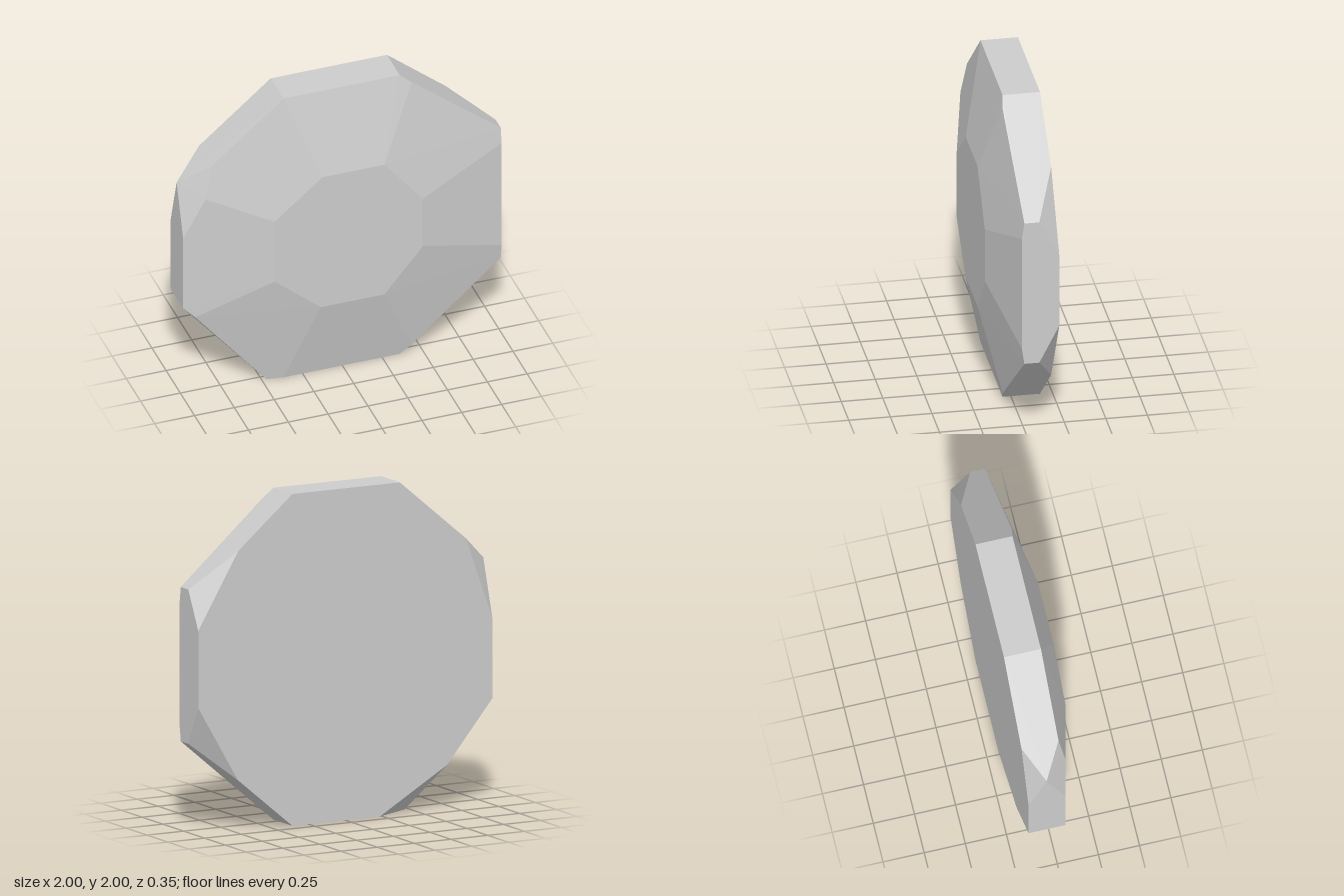
import * as THREE from 'three';
import { ConvexGeometry } from 'three/addons/geometries/ConvexGeometry.js';

const FRONT = 0.175, BACK = -0.175;

// Flat front facet
const face = [
  [-0.17, 1.47], [0.22, 1.47], [0.46, 1.17], [0.46, 0.83],
  [0.22, 0.54], [-0.18, 0.54], [-0.47, 0.79], [-0.47, 1.22],
].map(([x, y]) => [x, y, FRONT]);

// Rim where the front bevels meet the sides, plus the clipped outer corners
const rim = [
  [-0.37, 2, 0.05], [0.36, 2, 0.05],
  [-0.82, 1.62, 0.05], [-0.87, 1.41, 0.08], [-1, 1.47, -0.065], [-1, 1.14, 0.05],
  [-1, 0.64, 0.05], [-0.93, 0.57, 0.066],
  [-0.47, 0, 0.035], [-0.47, 0, -0.055], [-0.37, 0, 0.05], [0.36, 0, 0.05],
];
// The right-hand corners are alike above and below the middle
for (const s of [1, -1]) {
  rim.push(
    [0.43, 1 + s * 0.94, 0.062], [1, 1 + s * 0.365, 0.05],
    [1, 1 + s * 0.465, 0.035], [1, 1 + s * 0.465, -0.055],
  );
}

// Flat back with its cut corners
const back = [
  [-0.37, 2], [0.36, 2], [0.73, 1.69], [1, 1.235], [1, 0.77], [0.73, 0.31],
  [0.36, 0], [-0.235, 0], [-0.69, 0.266], [-1, 0.64], [-1, 1.12], [-0.82, 1.62],
].map(([x, y]) => [x, y, BACK]);

export function createModel() {
  const stone = new THREE.MeshStandardMaterial({ color: 0xcccccc });
  stone.name = 'paleGrey';

  const points = [...face, ...rim, ...back].map((p) => new THREE.Vector3(...p));
  const disc = new THREE.Mesh(new ConvexGeometry(points), stone);
  disc.name = 'facetedDisc';

  const group = new THREE.Group();
  group.name = 'facetedStone';
  group.add(disc);
  return group;
}
